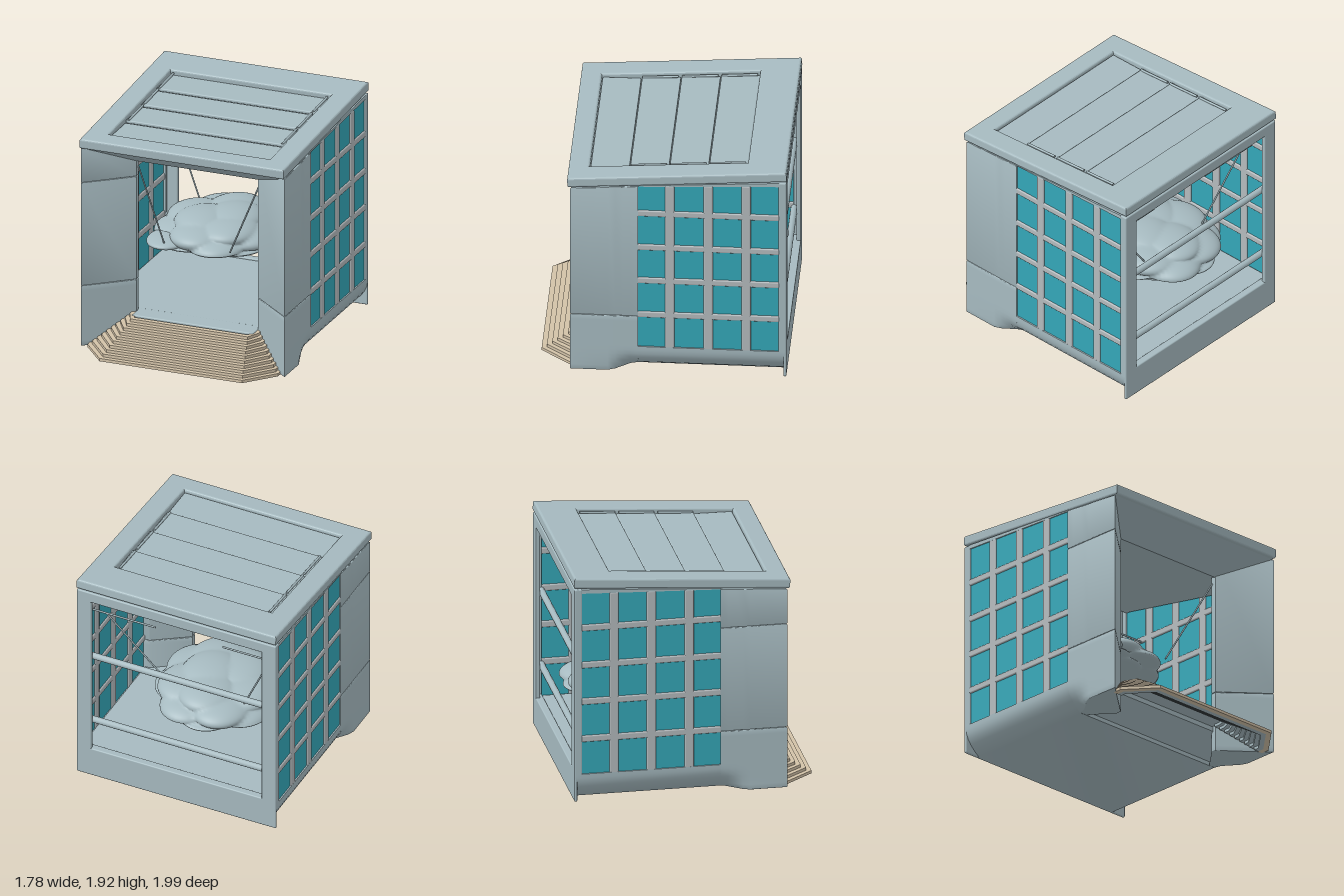
import * as THREE from 'three';
import { RoundedBoxGeometry } from 'three/addons/geometries/RoundedBoxGeometry.js';
import { toCreasedNormals } from 'three/addons/utils/BufferGeometryUtils.js';

export function createModel() {
  const root = new THREE.Group();
  const material = (name, color) => {
    const m = new THREE.MeshStandardMaterial({ color });
    m.name = name;
    return m;
  };
  const shell = material('shell blue grey', 0xa6bac0);
  const barGrey = material('bar grey', 0xb4babd);
  const glass = material('teal glass', 0x34a7b8);
  const wood = material('step tan', 0xd2c2a8);

  const add = (name, geometry, mat, parent = root) => {
    const mesh = new THREE.Mesh(geometry, mat);
    mesh.name = name;
    parent.add(mesh);
    return mesh;
  };
  const shapeOf = (pts) => new THREE.Shape(pts.map(([a, b]) => new THREE.Vector2(a, b)));
  const extrude = (shape, depth, bevel = 0, steps = 1) => new THREE.ExtrudeGeometry(shape, {
    depth: depth - 2 * bevel, steps, bevelEnabled: bevel > 0, bevelSize: bevel, bevelThickness: bevel, bevelSegments: 3,
  }).translate(0, 0, bevel);
  // plan outline of [x, z] points raised from y0
  const raise = (pts, y0, h, bevel, steps) =>
    extrude(shapeOf(pts.map(([x, z]) => [x, -z])), h, bevel, steps).rotateX(-Math.PI / 2).translate(0, y0, 0);
  // side profile of [z, y] points, from x0 to x1
  const across = (pts, x0, x1) =>
    extrude(shapeOf(pts), x1 - x0).rotateY(-Math.PI / 2).translate(x1, 0, 0);
  const box = (name, [x0, x1], [y0, y1], [z0, z1], mat, r = 0.01) => add(name,
    new RoundedBoxGeometry(x1 - x0, y1 - y0, z1 - z0, 2, r)
      .translate((x0 + x1) / 2, (y0 + y1) / 2, (z0 + z1) / 2), mat);
  const rod = (name, a, b, r, mat, parent = root) => {
    const p = new THREE.Vector3(...a), d = new THREE.Vector3(...b).sub(p);
    const mesh = add(name, new THREE.CylinderGeometry(r, r, d.length(), 12), mat, parent);
    mesh.position.copy(p).addScaledVector(d, 0.5);
    mesh.quaternion.setFromUnitVectors(new THREE.Vector3(0, 1, 0), d.normalize());
    return mesh;
  };

  // Base with sides that roll under towards the ground
  const tuck = (y, amount = 1) => 1 - 0.16 * amount * Math.max(0, 1 - y / 0.2) ** 2;
  const half = [0.235, 0.2, 0.16, 0.12, 0.08, 0.04, 0].map((y) => [0.89 * tuck(y), y]);
  const baseProfile = [...half, ...half.map(([x, y]) => [-x, y]).reverse()];
  add('base', toCreasedNormals(extrude(shapeOf(baseProfile), 1.19).translate(0, 0, -0.98), 0.8), shell);
  add('floorFront', across([[0.16, 0], [0.42, 0.18], [0.42, 0.25], [0.16, 0.25]], -0.74, 0.74), shell);
  box('floor', [-0.86, 0.86], [0.2, 0.25], [-0.95, 0.4], shell);
  box('entryTread', [-0.53, 0.53], [0.22, 0.252], [0.38, 0.55], shell);

  // Back frame and rails
  box('backSill', [-0.89, 0.89], [0, 0.265], [-0.99, -0.965], shell);
  box('backSillTop', [-0.89, 0.89], [0.2, 0.265], [-0.99, -0.925], shell);
  box('backHeader', [-0.89, 0.89], [1.73, 1.825], [-0.99, -0.955], shell);
  for (const s of [-1, 1]) {
    const span = (a, b) => (s > 0 ? [a, b] : [-b, -a]);
    box('backPost', span(0.76, 0.89), [0.2, 1.825], [-0.99, -0.955], shell);
    box('cornerPost', span(0.85, 0.89), [0.2, 1.825], [-0.985, -0.925], shell);
  }
  for (const y of [0.52, 1.157]) rod('backRail', [-0.85, y, -0.93], [0.85, y, -0.93], 0.028, shell);

  // Splayed front columns, divided by seams
  const columnPlan = [[0.884, 0.744], [0.536, 0.445], [0.536, 0.405], [0.82, 0.212],
    [0.884, 0.212], [0.884, 0.27], [0.884, 0.33], [0.884, 0.39], [0.884, 0.45]];
  for (const s of [-1, 1]) {
    const cuts = s < 0 ? [0, 0.52, 1.41, 1.71] : [0, 0.52, 1.71];
    for (let i = 0; i + 1 < cuts.length; i++) {
      const g = raise(columnPlan.map(([x, z]) => [s * x, z]),
        cuts[i] + 0.001, cuts[i + 1] - cuts[i] - 0.002, 0.006, i ? 1 : 13);
      const p = g.attributes.position;
      for (let k = 0; k < p.count; k++) {
        const x = p.getX(k), y = p.getY(k), z = p.getZ(k);
        if (y > 1.6) p.setY(k, y + (0.75 - z) * 0.068); // top follows the roof slope
        if (Math.abs(x) > 0.7) // rear foot blends into the base
          p.setX(k, x * tuck(y, THREE.MathUtils.smoothstep(0.46 - z, 0, 0.25)));
      }
      add('frontColumn', toCreasedNormals(g, 0.6), shell);
    }
  }
  add('frontHeader', across([[0.745, 1.71], [0.44, 1.54], [0.4, 1.55], [0.2, 1.75]], -0.885, 0.885), shell);
  add('innerCeiling', across([[0.44, 1.545], [0.44, 1.56], [-0.93, 1.815], [-0.93, 1.79]], -0.858, 0.858), shell);

  // Glazed side walls with a grid of bars
  const glassTop = (z) => 1.752 - (z - 0.2) * 0.038;
  for (const s of [-1, 1]) {
    const x = s * 0.874;
    add('sideGlass', across([[0.21, 0.23], [0.21, glassTop(0.2)], [-0.93, glassTop(-0.93)], [-0.93, 0.23]],
      x - 0.004, x + 0.004), glass);
    add('sideHeader', across([[0.21, 1.745], [0.21, 1.754], [-0.93, 1.825], [-0.93, 1.79]],
      x - 0.014, x + 0.014), shell);
    const xs = [x - 0.016, x + 0.016];
    for (const z of [-0.05, -0.36, -0.665])
      box('verticalBar', xs, [0.225, glassTop(z)], [z - 0.038, z + 0.038], barGrey, 0.012);
    for (const y of [0.537, 0.858, 1.172, 1.492])
      box('horizontalBar', xs, [y - 0.028, y + 0.028], [-0.935, 0.215], barGrey, 0.012);
  }

  // Sloping roof frame with louvred centre
  const roof = new THREE.Group();
  roof.name = 'roof';
  roof.position.set(0, 1.86, -0.105);
  roof.rotation.x = 0.071;
  root.add(roof);
  const b = 0.016, X = 0.89 - b, Z = 0.885 - b;
  const frame = shapeOf([[-X, -Z], [X, -Z], [X, Z], [-X, Z]]);
  const hx = 0.7 + b;
  frame.holes.push(new THREE.Path([[-hx, -0.715 - b], [-hx, 0.565 + b], [hx, 0.565 + b], [hx, -0.715 - b]]
    .map(([u, v]) => new THREE.Vector2(u, v))));
  add('roofFrame', extrude(frame, 0.085, b).rotateX(-Math.PI / 2).translate(0, -0.085, 0), shell, roof);
  add('ceiling', new THREE.BoxGeometry(1.44, 0.012, 1.32).translate(0, -0.074, 0.075), shell, roof);
  for (let i = 0; i < 4; i++) {
    const z = -0.405 + i * 0.32;
    const slat = add('roofSlat', new RoundedBoxGeometry(1.39, 0.028, 0.312, 2, 0.01), shell, roof);
    slat.position.set(0, -0.045, z);
    slat.rotation.x = -0.06;
    if (i < 3) for (const s of [-1, 1])
      rod('slatRod', [s * 0.67, -0.022, z - 0.14], [s * 0.67, -0.022, z + 0.15], 0.01, shell, roof);
  }

  // Hollow stacked steps narrowing upward, tan outside with a grey lining
  const stepOutline = (i, d) => {
    const zf = 1 - 0.042 * i - d, xf = 0.62 - 0.012 * i - d * 0.4;
    const xs = 0.83 - 0.03 * i - d, zs = 0.75 - 0.026 * i - d * 0.3, zb = 0.675 - 0.026 * i;
    return [[-xs, zb], [-xs, zs], [-xf, zf], [xf, zf], [xs, zs], [xs, zb]];
  };
  const stepRing = (i, d0, d1) =>
    raise([...stepOutline(i, d0), ...stepOutline(i, d1).reverse()], i * 0.0245, 0.0245);
  for (let i = 0; i < 10; i++) {
    add('step', stepRing(i, 0, 0.045), wood);
    if (i < 9) add('stepLining', stepRing(i, 0.045, 0.088), shell);
  }

  // Hanging cloud seat: flattened ball swollen by evenly spread lumps
  const cloud = new THREE.Group();
  cloud.name = 'cloudSeat';
  root.add(cloud);
  const lumps = [];
  for (let i = 0; i < 22; i++) {
    const y = 1 - (2 * i + 1) / 22, r = Math.sqrt(1 - y * y), a = i * 2.39996;
    lumps.push(new THREE.Vector3(r * Math.cos(a), y, r * Math.sin(a)));
  }
  const body = new THREE.SphereGeometry(1, 96, 64);
  const pos = body.attributes.position, v = new THREE.Vector3();
  for (let k = 0; k < pos.count; k++) {
    v.fromBufferAttribute(pos, k);
    const near = Math.min(...lumps.map((l) => l.distanceTo(v)));
    v.multiplyScalar(0.78 + 0.24 * Math.max(0, 1 - (near / 0.6) ** 2));
    pos.setXYZ(k, v.x * 0.54, v.y * (v.y > 0 ? 0.215 : 0.085), v.z * 0.62);
  }
  body.computeVertexNormals();
  add('cloudBody', body.translate(-0.1, 0.735, -0.34), shell, cloud);
  add('cloudTip', new THREE.SphereGeometry(1, 32, 20).scale(0.18, 0.05, 0.24).translate(-0.41, 0.745, 0.04), shell, cloud);

  // Ropes and the wall pegs that carry them
  const ropes = [
    [[-0.53, 1.49, 0.41], [-0.38, 0.76, 0.22]], [[0.53, 1.49, 0.41], [0.19, 0.78, 0.22]],
    [[-0.725, 1.475, -0.75], [-0.4, 0.8, -0.6]], [[0.74, 1.475, -0.75], [0.22, 0.8, -0.6]],
  ];
  for (const [from, to] of ropes) rod('rope', from, to, 0.007, shell);
  for (const s of [-1, 1]) rod('wallPeg', [s * 0.3, 1.472, -0.75], [s * 0.86, 1.472, -0.75], 0.008, shell);

  return root;
}
